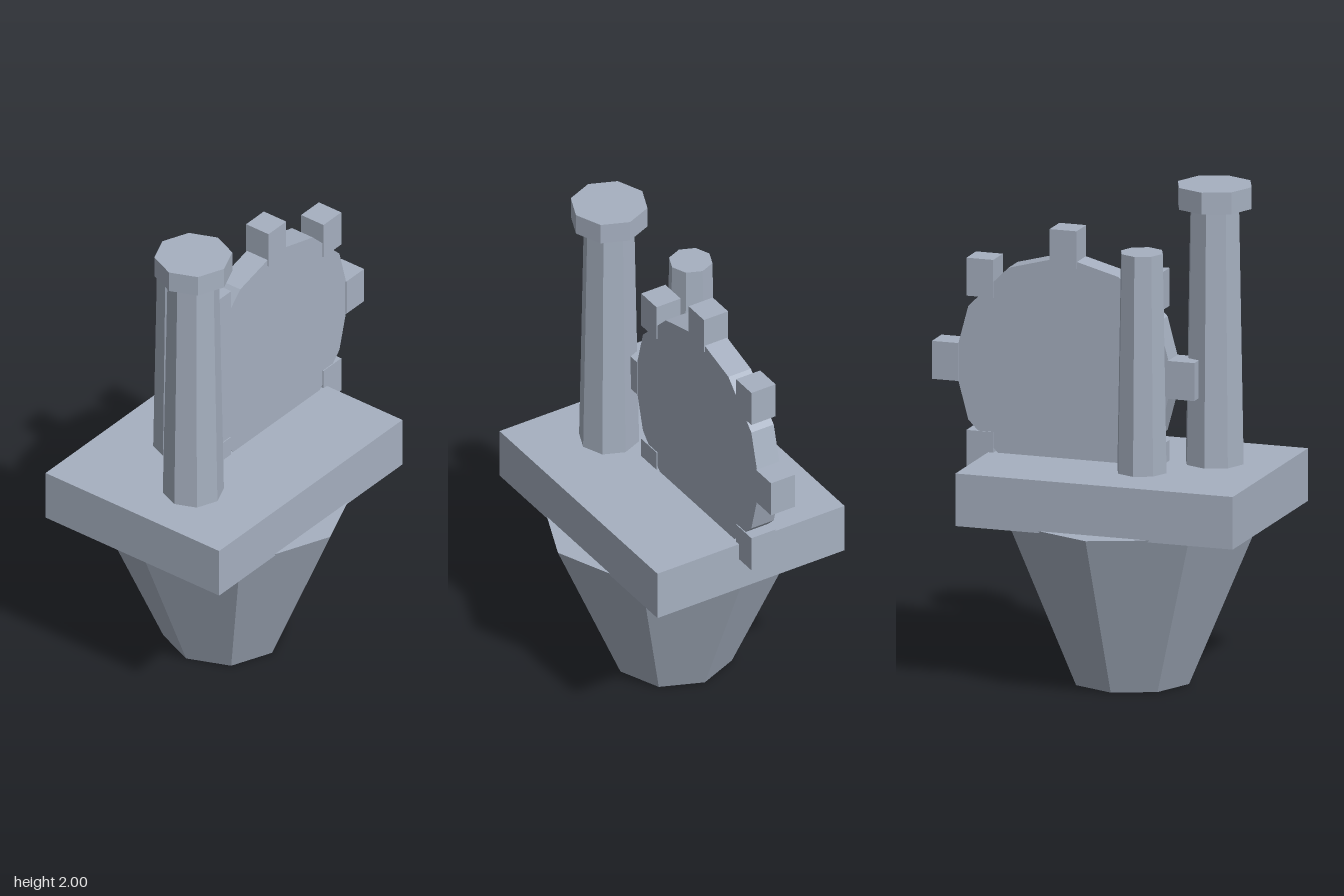
import * as THREE from 'three';

export function createModel() {
  const model = new THREE.Group();
  model.name = 'gearFactory';
  const steel = new THREE.MeshStandardMaterial({ color: 0xa6b0c0, flatShading: true });
  steel.name = 'blueGrey';

  const add = (parent, name, geometry, x, y, z) => {
    const mesh = new THREE.Mesh(geometry, steel);
    mesh.name = name;
    mesh.position.set(x, y, z);
    parent.add(mesh);
    return mesh;
  };

  // Eight-sided tapered column standing between two heights
  const column = (parent, name, rTop, rBottom, y0, y1, x, z) =>
    add(parent, name, new THREE.CylinderGeometry(rTop, rBottom, y1 - y0, 8), x, (y0 + y1) / 2, z);

  // Inverted cone base and the platform on it
  column(model, 'base', 0.53, 0.24, 0, 0.676, -0.12, 0);
  add(model, 'platform', new THREE.BoxGeometry(1.156, 0.212, 0.868), -0.121, 0.774, 0);

  // Tall chimney with a cap
  const tall = new THREE.Group();
  tall.name = 'tallChimney';
  column(tall, 'tallShaft', 0.1, 0.122, 0.8, 1.99, -0.433, 0.094);
  column(tall, 'tallCap', 0.154, 0.154, 1.912, 2, -0.433, 0.094);
  model.add(tall);

  // Short plain chimney
  column(model, 'shortChimney', 0.087, 0.104, 0.8, 1.763, -0.217, -0.148);

  // Gear half sunk into the platform, with upright block teeth
  const gear = new THREE.Group();
  gear.name = 'gear';
  gear.position.set(0.145, 1.233, 0);
  const disc = add(gear, 'gearDisc', new THREE.CylinderGeometry(0.458, 0.458, 0.104, 12), 0, 0, 0);
  disc.rotation.x = Math.PI / 2;
  for (let i = 0; i < 8; i++) {
    const a = (i * Math.PI) / 4;
    add(gear, 'gearTooth', new THREE.BoxGeometry(0.112, 0.153, 0.112), 0.491 * Math.cos(a), 0.491 * Math.sin(a), 0);
  }
  model.add(gear);

  return model;
}
